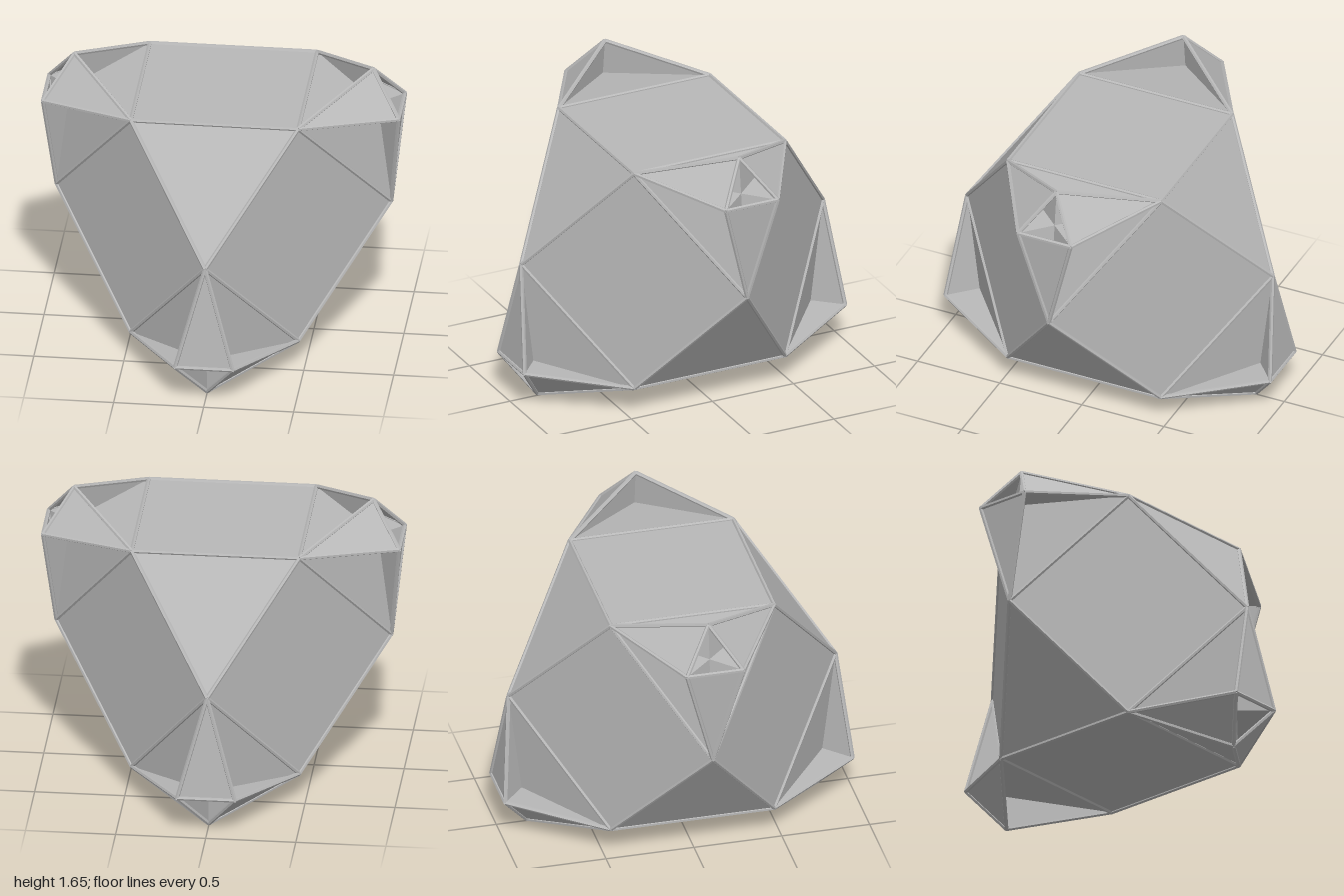
import * as THREE from 'three';
import { mergeGeometries } from 'three/addons/utils/BufferGeometryUtils.js';

const V = (x, y, z) => new THREE.Vector3(x, y, z);
const CENTRE_Y = 0.82, A = 0.465, H = 0.658, R = 0.012;

// Flat polygon drawn as a fan, wound to face away from the centre
function panel(points) {
  let p = points;
  const n = V(0, 0, 0).crossVectors(p[1].clone().sub(p[0]), p[2].clone().sub(p[0]));
  if (n.dot(p[0].clone().add(p[1]).add(p[2])) < 0) p = [...p].reverse();
  const tris = [];
  for (let i = 1; i < p.length - 1; i++) tris.push(p[0], p[i], p[i + 1]);
  const g = new THREE.BufferGeometry().setFromPoints(tris);
  g.computeVertexNormals();
  return g;
}

// Slim rod between two corners
function rod(a, b) {
  const d = b.clone().sub(a);
  const g = new THREE.CylinderGeometry(R, R, d.length(), 6);
  g.applyQuaternion(new THREE.Quaternion().setFromUnitVectors(V(0, 1, 0), d.normalize()));
  g.translate((a.x + b.x) / 2, (a.y + b.y) / 2, (a.z + b.z) / 2);
  return g;
}

export function createModel() {
  const model = new THREE.Group();
  const body = new THREE.Group();
  body.name = 'body';
  body.position.y = CENTRE_Y;
  model.add(body);

  const grey = new THREE.MeshStandardMaterial({ color: 0xb8b8b8, flatShading: true, side: THREE.DoubleSide });
  grey.name = 'grey';
  const add = (name, parts) => {
    const mesh = new THREE.Mesh(mergeGeometries(parts), grey);
    mesh.name = name;
    body.add(mesh);
  };

  // Core: two level squares, four upright squares
  const corners = [[1, 1], [1, -1], [-1, -1], [-1, 1]];
  const middle = [V(2 * A, 0, 0), V(0, 0, -2 * A), V(-2 * A, 0, 0), V(0, 0, 2 * A)];
  const ring = (y) => corners.map(([x, z]) => V(x * A, y, z * A));
  const top = ring(H), bottom = ring(-H);
  const squares = [panel(top), panel(bottom)];
  const triangles = [], coreRods = [];
  for (let i = 0; i < 4; i++) {
    const j = (i + 1) % 4, k = (i + 3) % 4;
    squares.push(panel([top[i], middle[i], bottom[i], middle[k]]));
    // Plain triangles: upper ones at front and back, lower ones at the sides
    const row = i % 2 ? top : bottom;
    triangles.push(panel([row[i], row[j], middle[i]]));
    for (const r of [top, bottom]) {
      coreRods.push(rod(r[i], r[j]), rod(r[i], middle[i]), rod(r[j], middle[i]));
    }
  }
  add('squarePanels', squares);
  add('trianglePanels', triangles);
  add('coreRods', coreRods);

  // Four notched horns: upper ones at the sides, lower ones at front and back
  const turns = {
    leftHorn: (p) => p,
    rightHorn: (p) => V(-p.x, p.y, -p.z),
    frontHorn: (p) => V(p.z, -p.y, p.x),
    backHorn: (p) => V(-p.z, -p.y, -p.x),
  };
  for (const [name, turn] of Object.entries(turns)) {
    const base = [V(A, H, A), V(2 * A, 0, 0), V(A, H, -A)].map(turn);
    // Each tip stands over the base edge from corner i to corner i + 1
    const tips = [V(0.988, 0.59, 0.16), V(0.988, 0.59, -0.16), V(0.83, 0.812, 0)].map(turn);
    const pit = turn(V(0.855, 0.605, 0));
    const faces = [], rods = [];
    for (let i = 0; i < 3; i++) {
      const next = base[(i + 1) % 3], before = tips[(i + 2) % 3];
      faces.push(
        panel([base[i], before, tips[i]]),   // outer wing
        panel([base[i], next, pit]),         // notch floor
        panel([base[i], tips[i], pit]),      // notch walls
        panel([next, tips[i], pit]),
      );
      rods.push(rod(base[i], tips[i]), rod(next, tips[i]), rod(before, tips[i]));
    }
    add(name, faces);
    add(name + 'Rods', rods);
  }
  return model;
}
